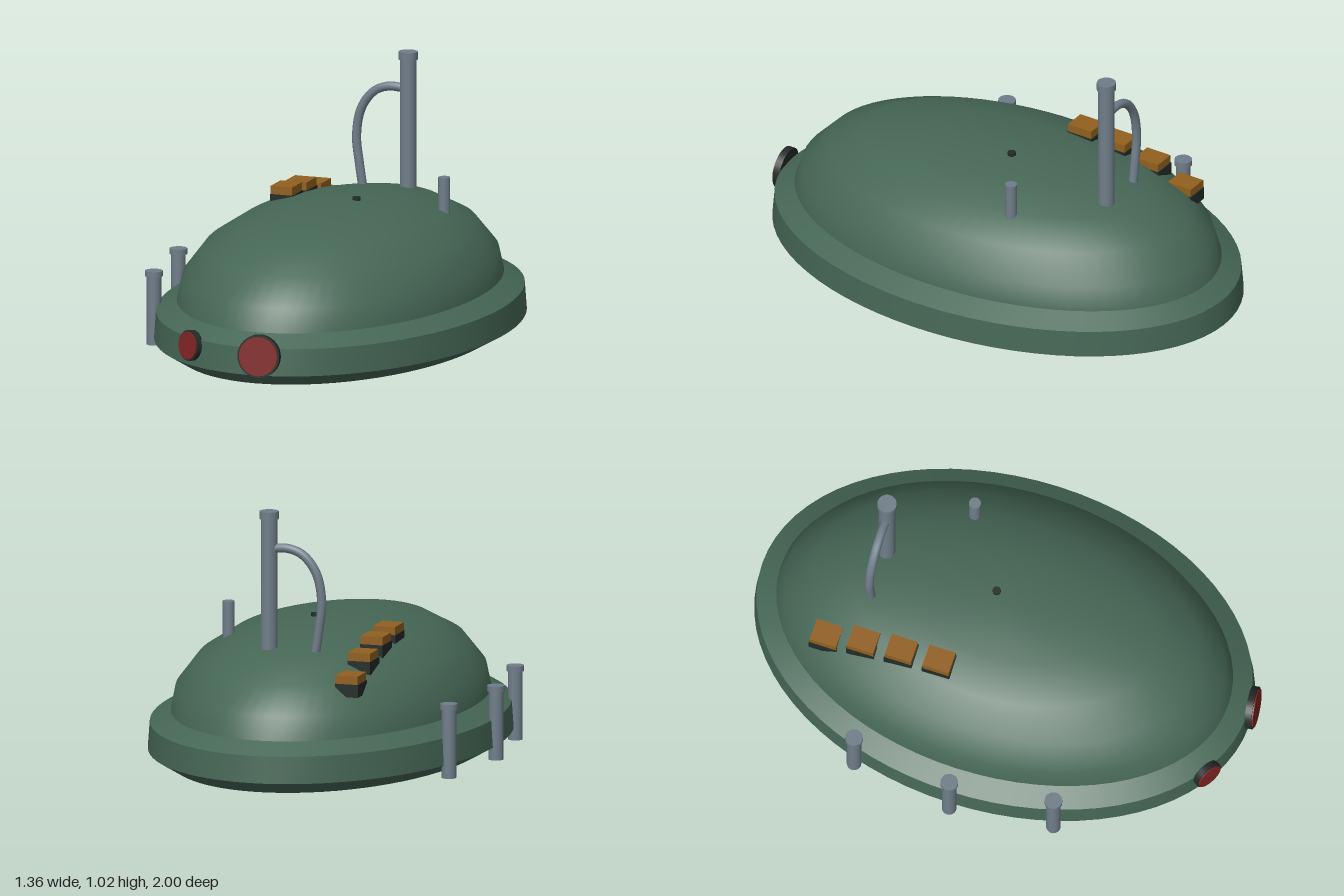
import * as THREE from 'three';

const CX = 0.0175, CZ = -0.012, SEG = 72;
// Elliptical rings of the shell: [y, x radius, z radius]
const SKIRT = [[0, 0.573, 0.905], [0.05, 0.6625, 0.987]];
const BAND = [[0.05, 0.6625, 0.987], [0.155, 0.655, 0.978]];
const SHOULDER = [[0.155, 0.655, 0.978], [0.2, 0.573, 0.902]];
const DOME = [[0.2, 0.573, 0.902], [0.29, 0.557, 0.87], [0.395, 0.478, 0.77],
  [0.47, 0.362, 0.603], [0.512, 0.212, 0.36], [0.53, 0, 0]];
const BASE = [[0, 0, 0], [0, 0.573, 0.905]];

// Smooth surface through elliptical rings, listed from the bottom up
function loft(rings) {
  const pos = [], idx = [];
  for (const [y, rx, rz] of rings) {
    for (let i = 0; i < SEG; i++) {
      const a = (i / SEG) * Math.PI * 2;
      pos.push(CX + rx * Math.sin(a), y, CZ + rz * Math.cos(a));
    }
  }
  for (let r = 0; r < rings.length - 1; r++) {
    for (let i = 0; i < SEG; i++) {
      const j = (i + 1) % SEG, a = r * SEG + i, b = r * SEG + j;
      const c = a + SEG, d = b + SEG;
      if (rings[r][1] > 0) idx.push(a, b, d);
      if (rings[r + 1][1] > 0) idx.push(a, d, c);
    }
  }
  const g = new THREE.BufferGeometry();
  g.setAttribute('position', new THREE.Float32BufferAttribute(pos, 3));
  g.setIndex(idx);
  g.computeVertexNormals();
  // The tip has no area of its own in some triangles, so point it straight up
  const last = rings.length - 1;
  if (rings[last][1] === 0) {
    for (let i = 0; i < SEG; i++) g.attributes.normal.setXYZ(last * SEG + i, 0, 1, 0);
  }
  if (rings[0][1] === 0) {
    for (let i = 0; i < SEG; i++) g.attributes.normal.setXYZ(i, 0, -1, 0);
  }
  return g;
}

// Height of the dome above a point
function domeHeight(x, z) {
  for (let i = DOME.length - 1; i > 0; i--) {
    const [y1, rx1, rz1] = DOME[i], [y0, rx0, rz0] = DOME[i - 1];
    const outer = Math.hypot((x - CX) / rx0, (z - CZ) / rz0);
    if (outer <= 1) {
      const inner = rx1 > 0 ? rx1 / rx0 : 0;
      return y0 + (y1 - y0) * Math.min(1, (1 - outer) / (1 - inner));
    }
  }
  return 0.2;
}

export function createModel() {
  const model = new THREE.Group();
  model.name = 'domedHull';
  const mat = (name, color) => {
    const m = new THREE.MeshStandardMaterial({ color });
    m.name = name;
    return m;
  };
  const green = mat('hullGreen', 0x466756);
  const steel = mat('pipeGrey', 0x6f7d89);
  const dark = mat('darkTrim', 0x222b28);
  const amber = mat('amber', 0x91601f);
  const red = mat('lampRed', 0x7f2424);

  const add = (name, geo, material, x = 0, y = 0, z = 0, parent = model) => {
    const mesh = new THREE.Mesh(geo, material);
    mesh.name = name;
    mesh.position.set(x, y, z);
    parent.add(mesh);
    return mesh;
  };

  // Shell, split where the edges are sharp
  add('hullBase', loft(BASE), green);
  add('hullSkirt', loft(SKIRT), green);
  add('hullBand', loft(BAND), green);
  add('hullShoulder', loft(SHOULDER), green);
  add('dome', loft(DOME), green);

  // Upright pipe, with an optional collar at the top
  const pipe = (name, x, z, y0, y1, r, capR, capH) => {
    const group = new THREE.Group();
    group.name = name;
    group.position.set(x, 0, z);
    model.add(group);
    add('shaft', new THREE.CylinderGeometry(r, r, y1 - y0, 20), steel, 0, (y0 + y1) / 2, 0, group);
    if (capR) {
      add('collar', new THREE.CylinderGeometry(capR, capR, capH, 20), steel, 0, y1 - capH / 2 + 0.001, 0, group);
    }
  };
  pipe('chimney', 0.1, -0.515, 0.42, 1.015, 0.032, 0.037, 0.03);
  pipe('shortPipe', 0.353, -0.245, 0.4, 0.6, 0.023);
  for (const [x, z] of [[-0.592, -0.415], [-0.648, -0.012], [-0.592, 0.39]]) {
    pipe('sidePipe', x, z, 0, 0.288, 0.028, 0.034, 0.022);
  }

  // Bent pipe from the dome into the chimney
  const bend = new THREE.CatmullRomCurve3([
    [-0.085, 0.46], [-0.1, 0.56], [-0.112, 0.67], [-0.092, 0.78], [-0.04, 0.85], [0.02, 0.874], [0.1, 0.87],
  ].map(([x, y]) => new THREE.Vector3(x, y, -0.515)));
  add('bentPipe', new THREE.TubeGeometry(bend, 32, 0.0175, 10), steel);

  // Row of amber blocks on dark mounts
  for (const z of [-0.635, -0.485, -0.332, -0.18]) {
    const x = -0.27, y = domeHeight(x, z) + 0.018;
    add('blockMount', new THREE.BoxGeometry(0.092, 0.05, 0.112), dark, x, y - 0.025, z);
    add('amberBlock', new THREE.BoxGeometry(0.088, 0.032, 0.106), amber, x, y + 0.016, z);
  }

  // Round lamps facing outward at the front
  const lamp = (name, x, y, z, r, turn, tilt) => {
    const group = new THREE.Group();
    group.name = name;
    group.position.set(x, y, z);
    group.rotation.set(-tilt, turn, 0, 'YXZ');
    model.add(group);
    const rim = add('lampRim', new THREE.CylinderGeometry(r, r, 0.026, 32), dark, 0, 0, -0.004, group);
    const lens = add('lampLens', new THREE.CylinderGeometry(r * 0.91, r * 0.91, 0.008, 32), red, 0, 0, 0.01, group);
    rim.rotation.x = lens.rotation.x = Math.PI / 2;
  };
  lamp('largeLamp', 0.067, 0.127, 0.977, 0.083, 0.11, 0.08);
  lamp('smallLamp', -0.247, 0.128, 0.897, 0.059, -0.54, 0.08);

  // Small stud near the crown
  add('crownStud', new THREE.CylinderGeometry(0.016, 0.016, 0.02, 16), dark, 0.065, 0.527, -0.06);

  return model;
}
